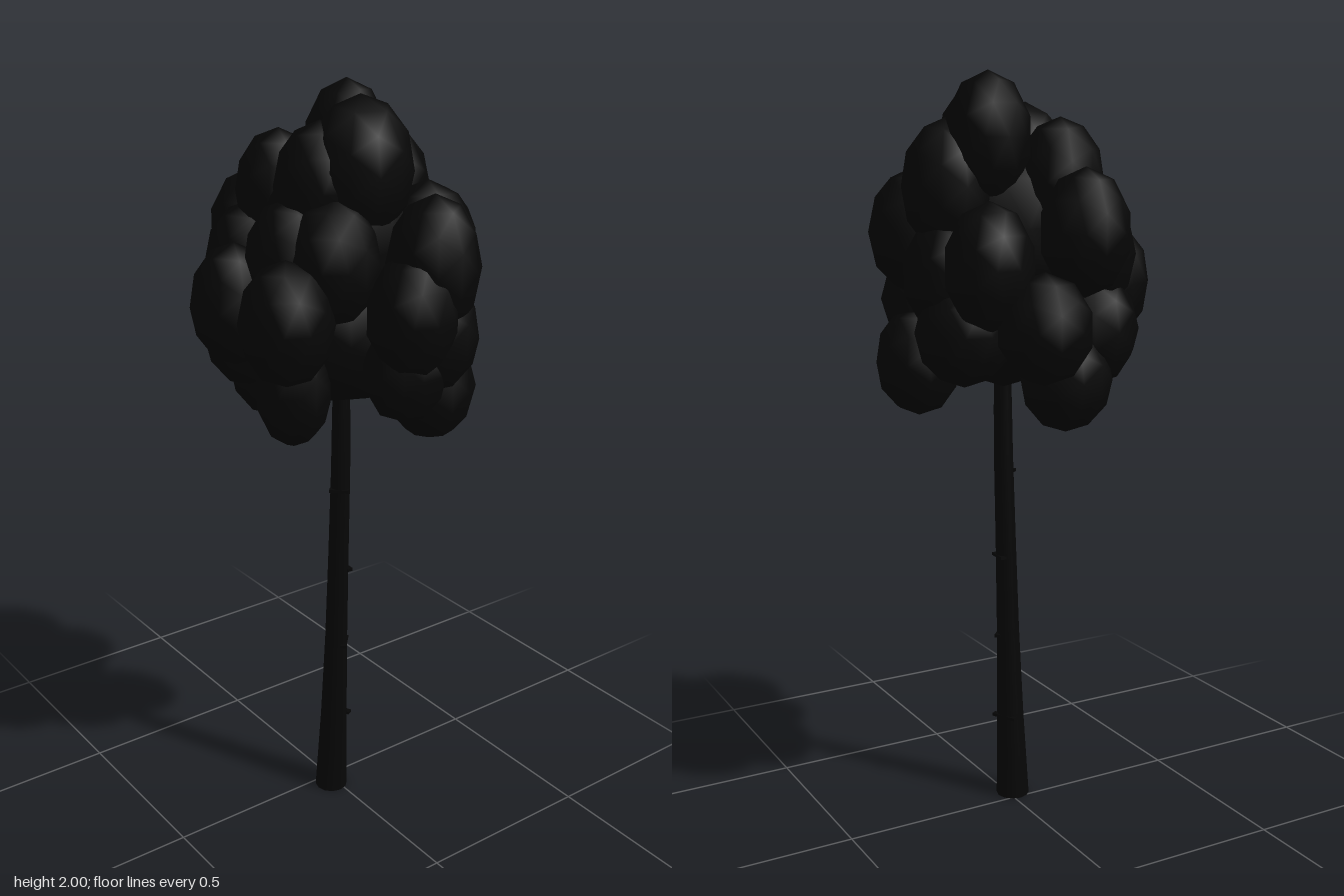
import * as THREE from 'three';

const foliageMat = new THREE.MeshStandardMaterial({ color: 0x060606 });
const barkMat = new THREE.MeshStandardMaterial({ color: 0x060606 });

// Trunk rings: height, centre x, centre z, radius
const rings = [
  [0, 0.035, 0.015, 0.046],
  [0.25, 0.042, 0.011, 0.037],
  [0.5, 0.046, 0.006, 0.031],
  [0.75, 0.047, 0, 0.028],
  [1.0, 0.045, -0.008, 0.026],
  [1.2, 0.042, -0.012, 0.024],
  [1.5, 0.03, -0.02, 0.016],
];

// Centre and radius of the trunk at height y
function trunkAt(y) {
  let i = 0;
  while (i < rings.length - 2 && rings[i + 1][0] < y) i++;
  const a = rings[i], b = rings[i + 1];
  const t = (y - a[0]) / (b[0] - a[0]);
  return [1, 2, 3].map((k) => THREE.MathUtils.lerp(a[k], b[k], t));
}

function makeTrunk() {
  // A unit cylinder bent and tapered along the rings
  const geo = new THREE.CylinderGeometry(1, 1, 1.5, 12, 12);
  geo.translate(0, 0.75, 0);
  const p = geo.attributes.position;
  for (let i = 0; i < p.count; i++) {
    const [cx, cz, r] = trunkAt(p.getY(i));
    p.setX(i, cx + p.getX(i) * r);
    p.setZ(i, cz + p.getZ(i) * r);
  }
  geo.computeVertexNormals();
  const mesh = new THREE.Mesh(geo, barkMat);
  mesh.name = 'trunk';
  return mesh;
}

function makeBarkMarks() {
  // Thin scars on the bark: height and facing angle
  const group = new THREE.Group();
  group.name = 'barkMarks';
  [[0.24, 3.6], [0.48, 2.4], [0.71, 3.1], [0.95, 0.8]].forEach(([y, a]) => {
    const [cx, cz, r] = trunkAt(y);
    const mark = new THREE.Mesh(new THREE.BoxGeometry(2 * r, 0.008, 0.016), barkMat);
    mark.position.set(cx + Math.sin(a) * r * 0.75, y, cz + Math.cos(a) * r * 0.75);
    mark.rotation.y = a;
    mark.name = 'barkMark';
    group.add(mark);
  });
  return group;
}

// Leaf clumps: x, y, z, horizontal radius, vertical radius
const clumps = [
  // crown
  [-0.1, 1.84, -0.13, 0.11, 0.16],
  [0.09, 1.81, -0.03, 0.135, 0.18],
  [0.04, 1.77, 0.055, 0.115, 0.16],
  [-0.13, 1.73, 0.06, 0.115, 0.16],
  // upper ring
  [-0.27, 1.61, 0.05, 0.115, 0.16],
  [-0.21, 1.53, -0.185, 0.115, 0.16],
  [-0.04, 1.72, -0.21, 0.12, 0.17],
  [0.13, 1.6, -0.215, 0.13, 0.17],
  [0.27, 1.59, -0.12, 0.12, 0.18],
  [0.13, 1.6, 0.08, 0.12, 0.16],
  [-0.16, 1.55, 0.13, 0.12, 0.16],
  [0.03, 1.61, 0.13, 0.12, 0.14],
  // middle ring
  [0.28, 1.48, -0.05, 0.117, 0.16],
  [0.25, 1.41, -0.14, 0.12, 0.15],
  [0.13, 1.47, 0.22, 0.12, 0.16],
  [-0.09, 1.47, 0.225, 0.117, 0.16],
  [-0.28, 1.38, -0.07, 0.122, 0.14],
  [-0.05, 1.5, -0.21, 0.125, 0.16],
  // lower ring
  [-0.2, 1.24, 0.04, 0.12, 0.14],
  [-0.1, 1.36, -0.2, 0.125, 0.14],
  [0.19, 1.25, -0.19, 0.118, 0.15],
  [0.07, 1.28, 0.16, 0.1, 0.16],
  [0.24, 1.33, -0.06, 0.11, 0.14],
  [-0.18, 1.36, 0.13, 0.12, 0.15],
  // core
  [0, 1.62, -0.02, 0.2, 0.24],
  [0.02, 1.4, -0.02, 0.2, 0.21],
];

function makeFoliage() {
  const group = new THREE.Group();
  group.name = 'foliage';
  const geo = new THREE.IcosahedronGeometry(1, 1);
  clumps.forEach(([x, y, z, r, h], i) => {
    const clump = new THREE.Mesh(geo, foliageMat);
    clump.position.set(x, y, z);
    clump.scale.set(r, h, r);
    clump.rotation.y = i * 1.3;
    clump.name = 'leafClump';
    group.add(clump);
  });
  return group;
}

export function createModel() {
  const tree = new THREE.Group();
  tree.name = 'tree';
  tree.add(makeTrunk(), makeBarkMarks(), makeFoliage());
  return tree;
}
